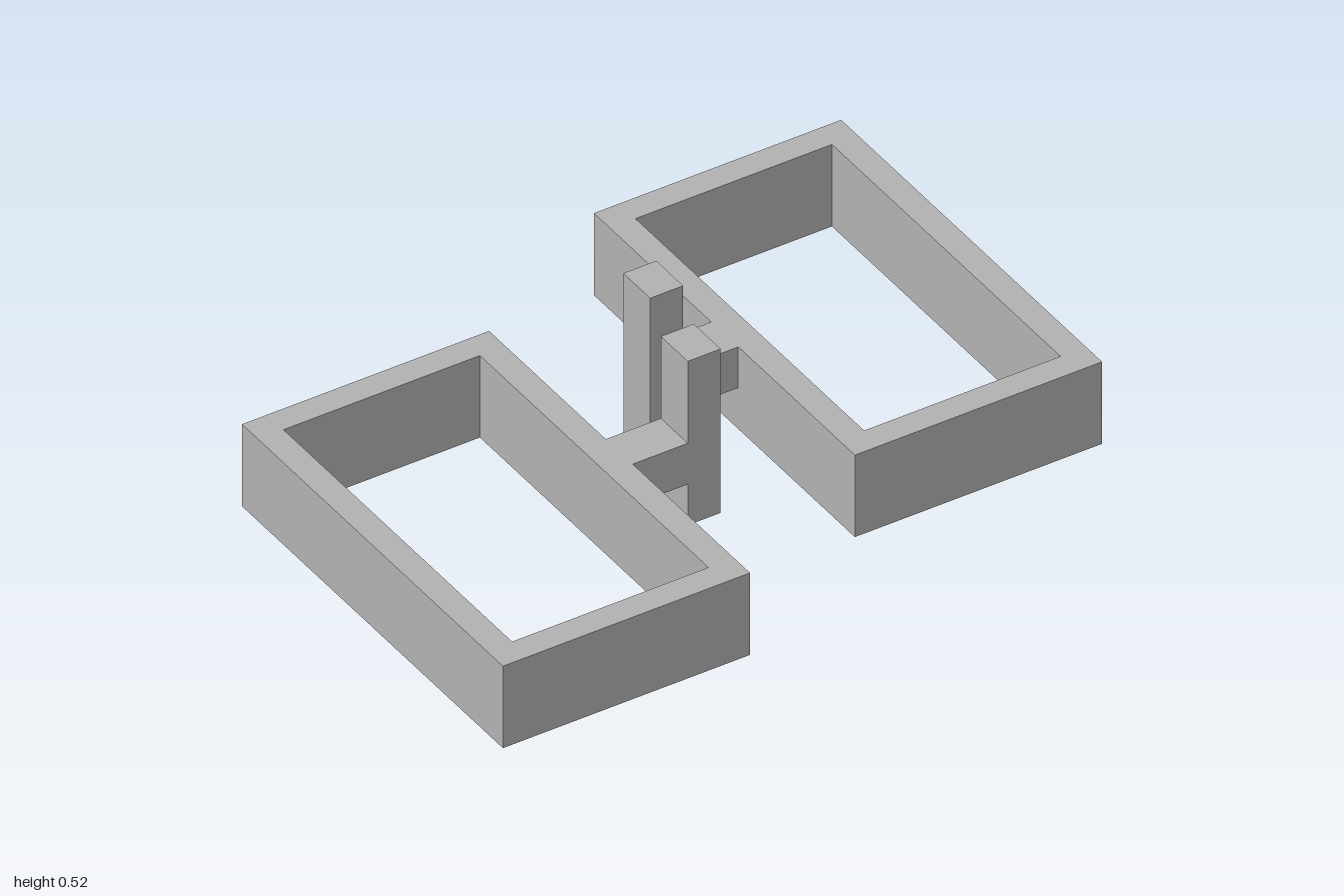
import * as THREE from 'three';

const grey = new THREE.MeshStandardMaterial({ color: 0xb2b2b2 });
grey.name = 'grey';

const WALL = 0.077;

function rectangle(path, x0, x1, y0, y1) {
  path.moveTo(x0, y0);
  path.lineTo(x1, y0);
  path.lineTo(x1, y1);
  path.lineTo(x0, y1);
  path.closePath();
  return path;
}

// Box given by its limits on each axis
function block(name, [x0, x1], [y0, y1], [z0, z1]) {
  const mesh = new THREE.Mesh(new THREE.BoxGeometry(x1 - x0, y1 - y0, z1 - z0), grey);
  mesh.position.set((x0 + x1) / 2, (y0 + y1) / 2, (z0 + z1) / 2);
  mesh.name = name;
  return mesh;
}

// Open rectangular frame with an arm that carries an upright post
function createHalf(name) {
  const half = new THREE.Group();
  half.name = name;

  // Shape y becomes -z once laid flat
  const [x0, x1, y0, y1] = [0.25, 1, -0.478, 0.763];
  const outline = rectangle(new THREE.Shape(), x0, x1, y0, y1);
  outline.holes.push(rectangle(new THREE.Path(), x0 + WALL, x1 - WALL, y0 + WALL, y1 - WALL));
  const geometry = new THREE.ExtrudeGeometry(outline, { depth: 0.26, bevelEnabled: false });
  geometry.rotateX(-Math.PI / 2);
  const frame = new THREE.Mesh(geometry, grey);
  frame.name = 'frame';

  half.add(
    frame,
    block('arm', [0.083, 0.25], [0.13, 0.26], [-0.205, -0.077]),
    block('post', [-0.017, 0.083], [0, 0.52], [-0.205, -0.077])
  );
  return half;
}

export function createModel() {
  const model = new THREE.Group();
  model.name = 'pairedFrames';

  // The right half is the left half turned half a turn about the centre
  const left = createHalf('leftHalf');
  const right = createHalf('rightHalf');
  right.rotation.y = Math.PI;
  model.add(left, right);
  return model;
}
